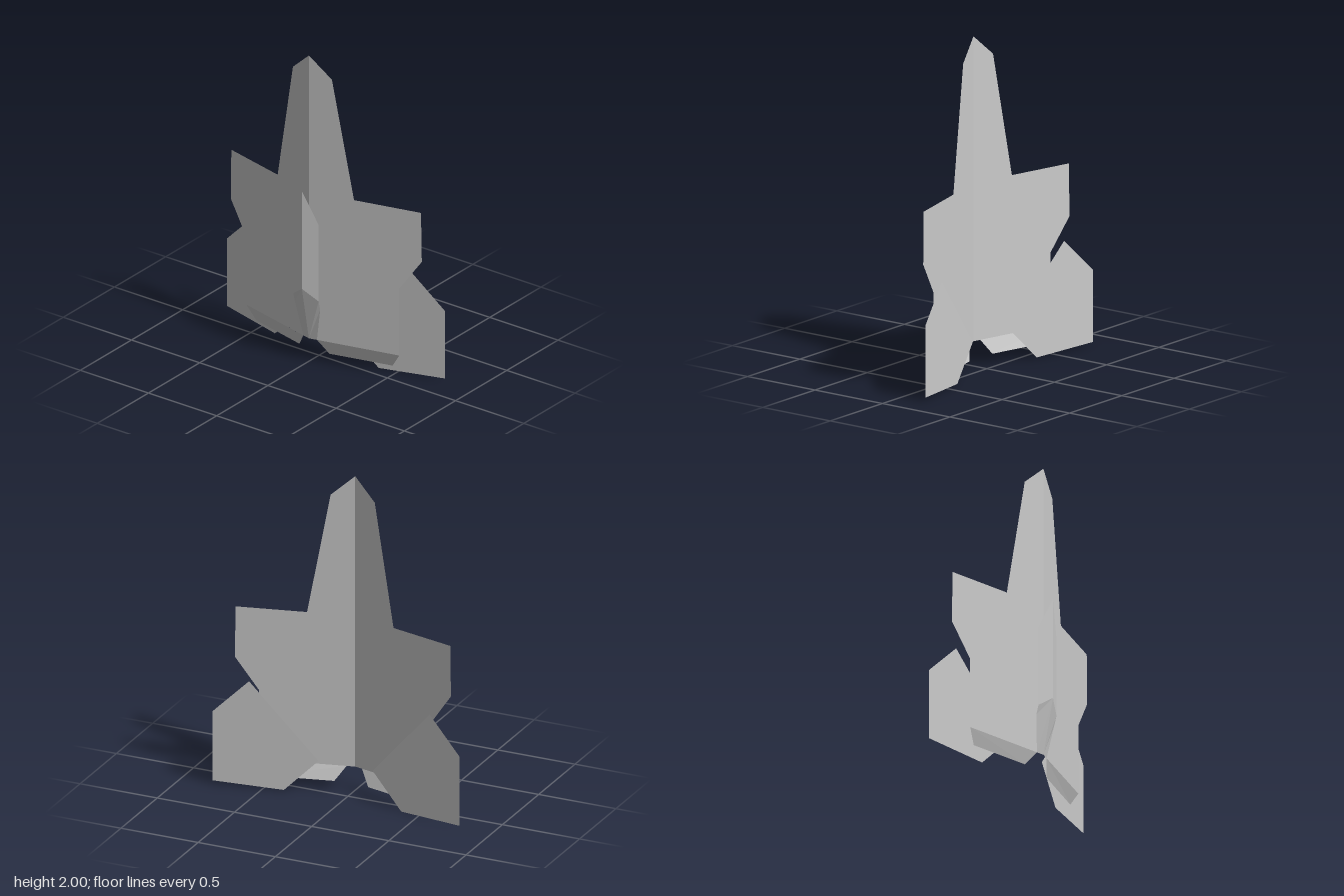
import * as THREE from 'three';

const material = new THREE.MeshStandardMaterial({ color: 0xcccccc, flatShading: true, side: THREE.DoubleSide });

// Thin panel from a counter-clockwise outline of [x, y, z] corners
function panel(name, corners) {
  const outline = corners.map(([x, y]) => new THREE.Vector2(x, y));
  const geometry = new THREE.BufferGeometry();
  geometry.setAttribute('position', new THREE.Float32BufferAttribute(corners.flat(), 3));
  geometry.setIndex(THREE.ShapeUtils.triangulateShape(outline, []).flat());
  geometry.computeVertexNormals();
  const mesh = new THREE.Mesh(geometry, material);
  mesh.name = name;
  return mesh;
}

// The same panel on the left (+x) and mirrored on the right
function pair(name, corners) {
  const mirrored = corners.map(([x, y, z]) => [-x, y, z]).reverse();
  const group = new THREE.Group();
  group.name = name;
  group.add(panel(name + 'Left', corners), panel(name + 'Right', mirrored));
  return group;
}

// Gives flat [x, y] outlines their depth on a swept-back plane
const swept = (points, z0, slope) => points.map(([x, y]) => [x, y, z0 - slope * x]);

export function createModel() {
  const model = new THREE.Group();
  model.name = 'glider';

  // Folded fuselage and wing sheet, with a crease at x = 0
  model.add(pair('wing', swept([
    [0, 0.15], [0.56, 0.15], [0.56, 0.59], [0.7, 0.79], [0.695, 1.11],
    [0.28, 1.11], [0.143, 1.87], [0, 2],
  ], 0.1, 0.243)));

  // Trailing flaps bent backwards
  model.add(pair('flap', [
    [0.05, 0.15, 0.088], [0.11, 0.06, 0.045], [0.5, 0.06, -0.052], [0.56, 0.15, -0.036],
  ]));

  // Tail fins standing off behind the wing
  model.add(pair('tailFin', swept([
    [0.175, 0.205], [0.38, 0], [0.8, 0.02], [0.8, 0.46], [0.585, 0.672],
  ], 0.006, 0.2135)));

  // Open ridged canopy
  const ridgeEnd = [0, 0.5, 0.168];
  const shoulder = [0.093, 0.43, 0.129];
  const hip = [0.093, 0.37, 0.113];
  model.add(pair('canopyRoof', [
    ridgeEnd, shoulder, [0.093, 0.93, 0.129], [0, 1.14, 0.168],
  ]));

  // Canopy tail tapering down to the wing
  model.add(pair('canopyTail', [
    [0, 0.15, 0.1], [0.05, 0.15, 0.088], hip, shoulder, ridgeEnd,
  ]));
  return model;
}
